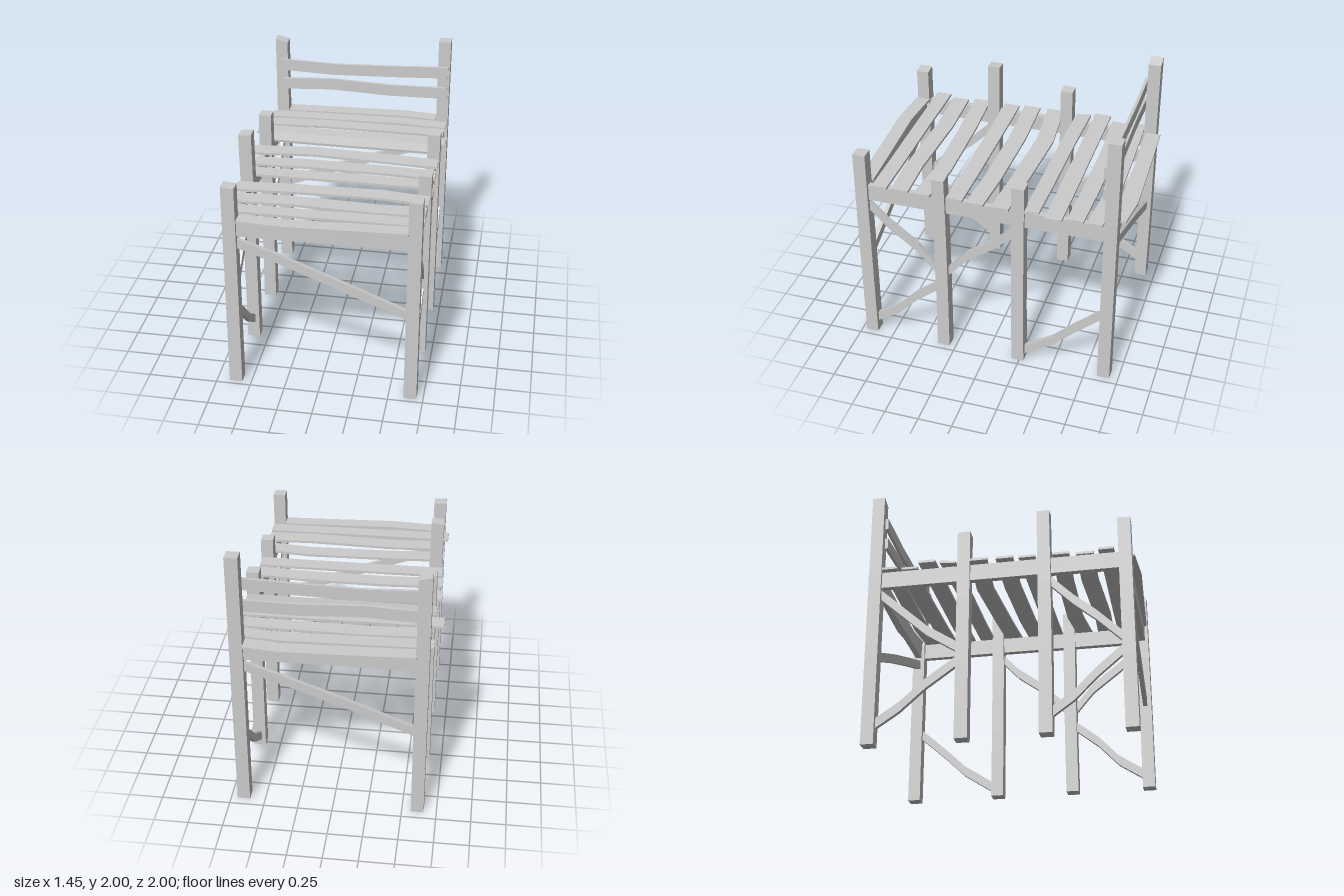
import * as THREE from 'three';

const material = new THREE.MeshStandardMaterial({ color: 0xcccccc, flatShading: true });
const LEFT = 0.657, RIGHT = -0.612;            // post centre lines in x
const POST_Z = [0.92, 0.343, -0.237, -0.89];   // post rows, front to back
const POST = 0.092;

function add(group, name, geometry, x = 0, y = 0, z = 0) {
  const mesh = new THREE.Mesh(geometry, material);
  mesh.name = name;
  mesh.position.set(x, y, z);
  group.add(mesh);
  return mesh;
}

// Crooked plank: a centre line widened in y, extruded and centred in depth
function plank(points, width, depth) {
  const up = points.map(([x, y]) => new THREE.Vector2(x, y + width / 2));
  const down = points.map(([x, y]) => new THREE.Vector2(x, y - width / 2)).reverse();
  const geometry = new THREE.ExtrudeGeometry(new THREE.Shape([...up, ...down]), { depth, bevelEnabled: false });
  return geometry.translate(0, 0, -depth / 2);
}

// Rough post: slightly bowed box with a leaning, slanted top
function post(height, lean, slant, bow) {
  const geometry = new THREE.BoxGeometry(POST, height, POST, 1, 3, 1).translate(0, height / 2, 0);
  const p = geometry.attributes.position;
  for (let i = 0; i < p.count; i++) {
    const t = p.getY(i) / height;
    const x = p.getX(i);
    if (t > 0.99) p.setY(i, height - slant * (x / POST + 0.5));
    p.setX(i, x + lean * t * t);
    p.setZ(i, p.getZ(i) + bow * Math.sin(t * Math.PI));
  }
  geometry.computeVertexNormals();
  return geometry;
}

export function createModel() {
  const model = new THREE.Group();
  model.name = 'woodenPlatform';

  // Eight posts: height, lean, slant of the top, bow
  const posts = {
    left: [[1.58, 0, 0, 0.002], [1.485, 0, 0.005, -0.004], [1.525, 0, 0, 0.004], [2.0, 0, 0, 0]],
    right: [[1.585, 0, 0.008, 0], [1.695, -0.012, -0.008, 0.003], [1.588, 0, 0, 0], [1.943, -0.002, 0.025, 0]],
  };
  for (const side of ['left', 'right']) {
    const x = side === 'left' ? LEFT : RIGHT;
    posts[side].forEach((p, i) => add(model, side + 'Post' + (i + 1), post(...p), x, 0, POST_Z[i]));
    // Side beam carrying the slats
    add(model, side + 'Beam', new THREE.BoxGeometry(0.045, 0.122, 1.78), x, 1.262, 0.015);
  }

  // Front and back beams
  const middle = (LEFT + RIGHT) / 2;
  for (const [name, z] of [['frontBeam', POST_Z[0]], ['backBeam', POST_Z[3]]])
    add(model, name, new THREE.BoxGeometry(LEFT - RIGHT, 0.122, 0.045), middle, 1.262, z);

  // Diagonal braces across the front and back
  add(model, 'frontBrace', plank([[-0.58, 1.145], [-0.3, 1.05], [0.1, 0.89], [0.63, 0.675]], 0.07, 0.032), 0, 0, POST_Z[0]);
  add(model, 'backBrace', plank([[-0.58, 0.685], [-0.1, 0.88], [0.32, 1.035], [0.63, 1.145]], 0.07, 0.032), 0, 0, POST_Z[3]);

  // Diagonal braces along the sides, as [z, y] centre lines
  const sideBraces = {
    left: [
      [[0.39, 0.685], [0.52, 0.84], [0.74, 1.01], [0.885, 1.155]],
      [[0.38, 0.53], [0.55, 0.395], [0.7, 0.235], [0.885, 0.115]],
      [[-0.2, 1.15], [-0.07, 1.01], [0.15, 0.85], [0.31, 0.67]],
      [[-0.855, 0.55], [-0.65, 0.37], [-0.5, 0.225], [-0.275, 0.08]],
    ],
    right: [
      [[0.38, 1.15], [0.54, 0.99], [0.7, 0.855], [0.885, 0.675]],
      [[0.38, 0.155], [0.54, 0.27], [0.7, 0.43], [0.885, 0.585]],
      [[-0.855, 1.155], [-0.66, 0.98], [-0.5, 0.835], [-0.275, 0.69]],
      [[-0.855, 0.155], [-0.68, 0.27], [-0.5, 0.43], [-0.275, 0.59]],
    ],
  };
  for (const side in sideBraces)
    sideBraces[side].forEach((line, i) => add(model, side + 'Brace' + (i + 1),
      plank(line, 0.075, 0.032).rotateY(-Math.PI / 2), side === 'left' ? LEFT : RIGHT));

  // Floor slats: left and right ends in x, four centre-line z values, width
  const slats = [
    [-0.57, 0.605, -0.912, -0.925, -0.945, -0.915, 0.112],
    [-0.68, 0.695, -0.777, -0.79, -0.803, -0.775, 0.112],
    [-0.655, 0.69, -0.635, -0.657, -0.65, -0.64, 0.118],
    [-0.73, 0.72, -0.49, -0.49, -0.492, -0.49, 0.122],
    [-0.67, 0.695, -0.352, -0.34, -0.337, -0.33, 0.115],
    [-0.695, 0.7, -0.12, -0.162, -0.13, -0.105, 0.128],
    [-0.69, 0.7, 0.065, 0.045, 0.055, 0.078, 0.125],
    [-0.675, 0.69, 0.225, 0.223, 0.225, 0.23, 0.118],
    [-0.675, 0.7, 0.467, 0.443, 0.43, 0.468, 0.122],
    [-0.65, 0.695, 0.637, 0.622, 0.645, 0.632, 0.125],
    [-0.69, 0.7, 0.79, 0.79, 0.785, 0.785, 0.11],
    [-0.56, 0.61, 0.925, 0.948, 0.92, 0.91, 0.105],
  ];
  slats.forEach(([x0, x1, a, b, c, d, width], i) => {
    const line = [[x0, a], [-0.24, b], [0.35, c], [x1, d]];
    const slat = add(model, 'slat' + (i + 1), plank(line, width, 0.018).rotateX(Math.PI / 2), 0, 1.333, 0);
    // One slat has worked loose and tips up at its rear edge
    if (i === 4) {
      slat.geometry.translate(0, 0, 0.28).rotateX(0.13);
      slat.position.set(0, 1.337, -0.28);
    }
  });

  // Two back rails in front of the tall posts
  add(model, 'upperBackRail', plank([[-0.615, 1.742], [-0.2, 1.727], [0.25, 1.74], [0.69, 1.758]], 0.088, 0.022), 0, 0, -0.833);
  add(model, 'lowerBackRail', plank([[-0.605, 1.583], [-0.22, 1.602], [0.25, 1.582], [0.685, 1.587]], 0.088, 0.022), 0, 0, -0.833);

  return model;
}
